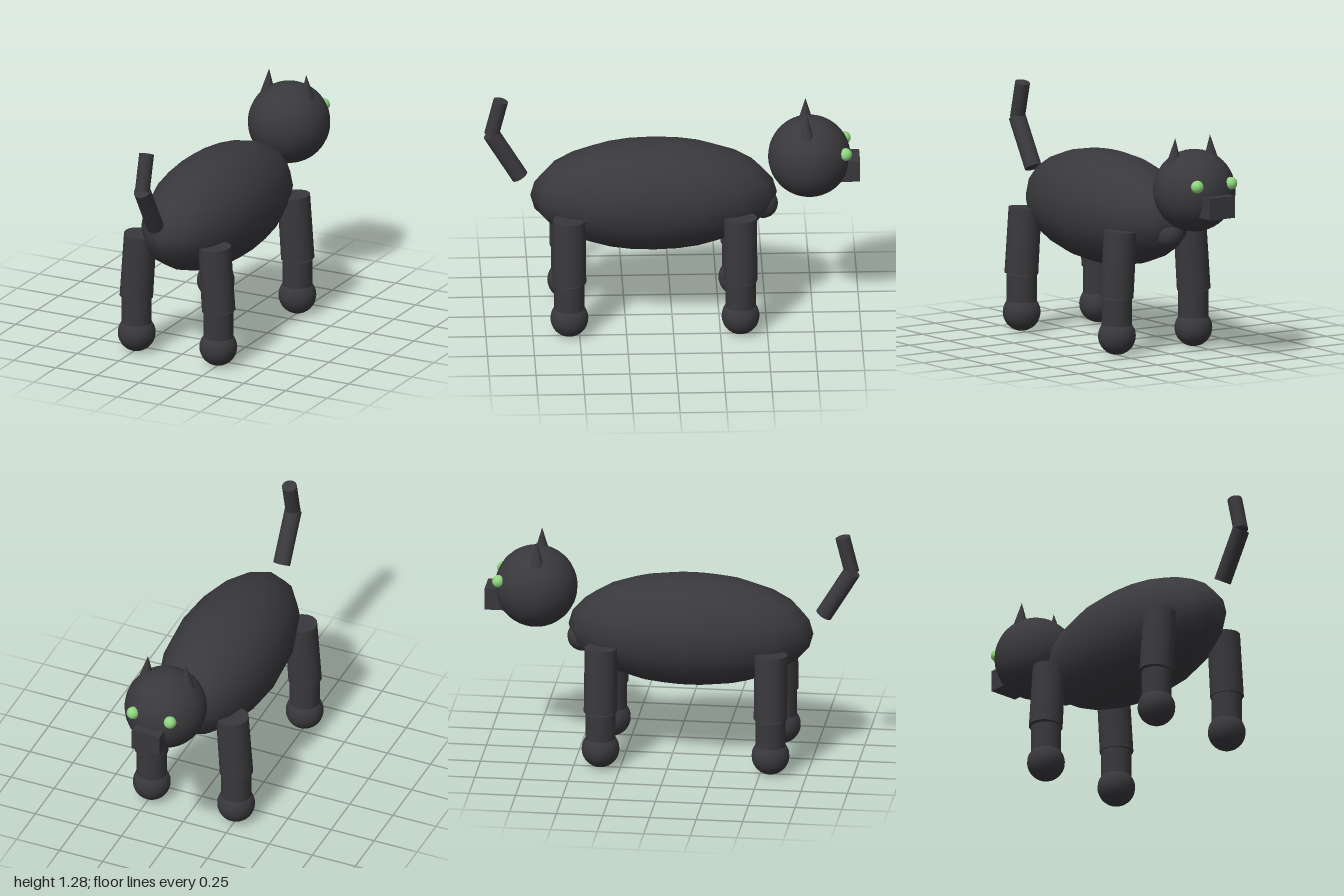
import * as THREE from 'three';

export function createModel() {
  const cat = new THREE.Group();
  cat.name = 'cat';
  const fur = new THREE.MeshStandardMaterial({ color: 0x39383c });
  fur.name = 'charcoal fur';
  const green = new THREE.MeshStandardMaterial({ color: 0x8fd67f });
  green.name = 'green eyes';

  function add(name, geometry, x, y, z, material = fur, parent = cat) {
    const mesh = new THREE.Mesh(geometry, material);
    mesh.name = name;
    mesh.position.set(x, y, z);
    parent.add(mesh);
    return mesh;
  }

  // Cylinder running between two points
  function rod(name, from, to, rFrom, rTo, parent = cat) {
    const a = new THREE.Vector3(...from), b = new THREE.Vector3(...to);
    const axis = b.clone().sub(a);
    const mid = a.clone().add(b).multiplyScalar(0.5);
    const geometry = new THREE.CylinderGeometry(rTo, rFrom, axis.length(), 20);
    const mesh = add(name, geometry, mid.x, mid.y, mid.z, fur, parent);
    mesh.quaternion.setFromUnitVectors(new THREE.Vector3(0, 1, 0), axis.normalize());
    return mesh;
  }

  // Body, stretched along z, and chest
  add('body', new THREE.SphereGeometry(1, 16, 12), 0, 0.713, 0.098).scale.set(0.302, 0.302, 0.657);
  add('chest', new THREE.SphereGeometry(0.08, 20, 14), 0, 0.645, -0.485);

  // Head, facing -z, with a boxy muzzle
  add('head', new THREE.SphereGeometry(0.22, 32, 24), 0, 0.918, -0.732);
  add('muzzle', new THREE.BoxGeometry(0.162, 0.118, 0.16), 0, 0.858, -0.92);

  for (const side of [1, -1]) {
    const label = side > 0 ? 'left' : 'right';
    rod(label + 'Ear', [side * 0.119, 1.072, -0.715], [side * 0.111, 1.207, -0.715], 0.039, 0);
    add(label + 'Eye', new THREE.SphereGeometry(0.034, 16, 12), side * 0.108, 0.972, -0.922, green);

    // Legs: leaning thigh, straight shin and round paw
    for (const [end, z] of [['Front', -0.357], ['Hind', 0.555]]) {
      const leg = new THREE.Group();
      leg.name = label + end + 'Leg';
      cat.add(leg);
      rod('upperLeg', [side * 0.247, 0.31, z], [side * 0.223, 0.664, z], 0.09, 0.088, leg);
      rod('lowerLeg', [side * 0.245, 0.1, z], [side * 0.245, 0.306, z], 0.081, 0.081, leg);
      add('paw', new THREE.SphereGeometry(0.101, 24, 16), side * 0.245, 0.101, z, fur, leg);
    }
  }

  // Tail in two bent segments
  rod('tailBase', [0, 0.822, 0.81], [0, 1.073, 0.963], 0.046, 0.046);
  rod('tailTip', [0, 1.072, 0.961], [0, 1.267, 0.912], 0.04, 0.04);

  return cat;
}
